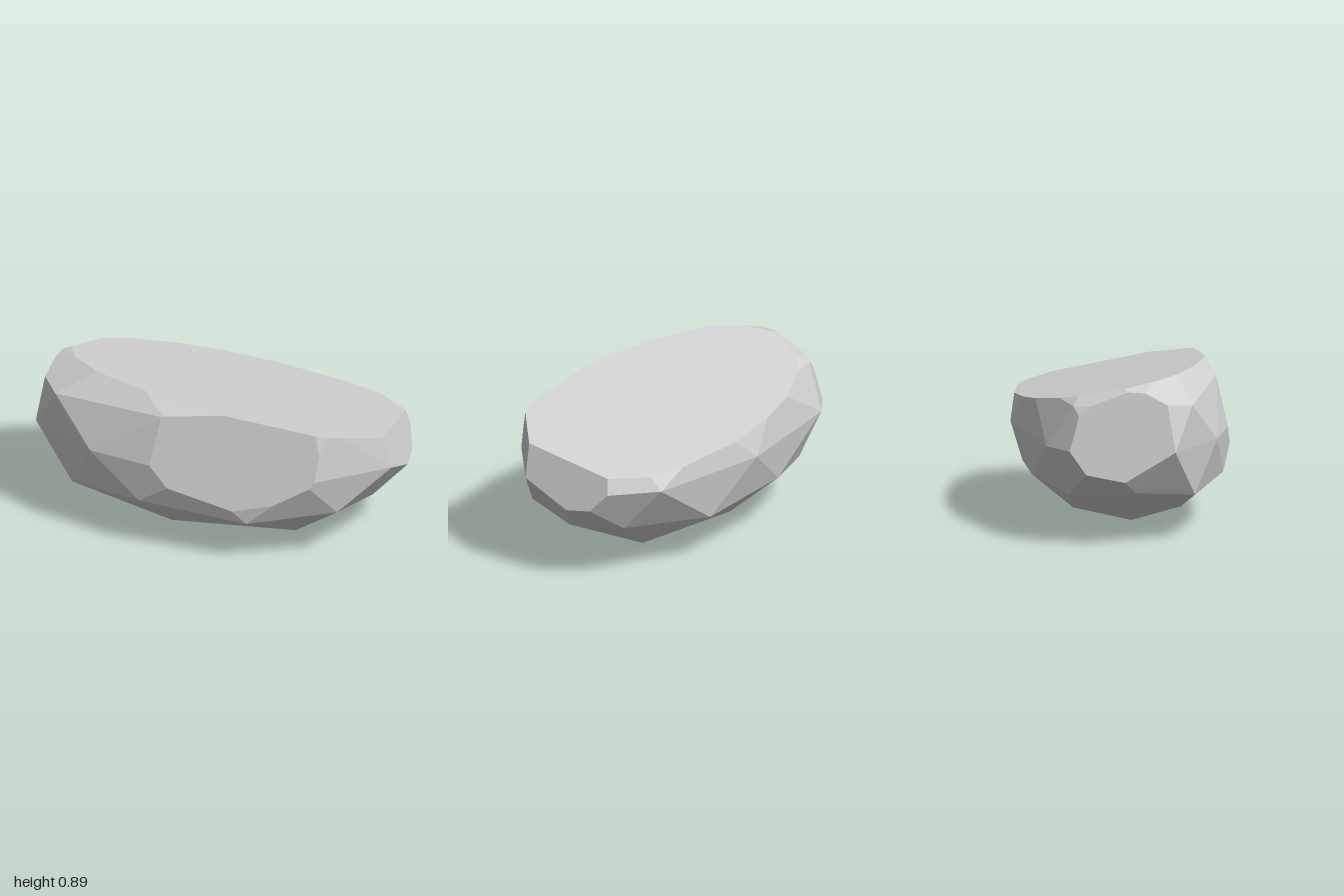
import * as THREE from 'three';
import { ConvexGeometry } from 'three/addons/geometries/ConvexGeometry.js';
import { mergeVertices } from 'three/addons/utils/BufferGeometryUtils.js';

// Rough boulder: horizontal rings of [x, z] corners, from the bottom up
const rings = [
  { y: 0, xz: [[-0.02, 0.03]] },
  { y: 0.08, xz: [[0.46, 0.24], [-0.21, 0.32], [-0.58, 0.03], [-0.2, -0.26], [0.46, -0.18]] },
  { y: 0.25, xz: [[0.83, 0.03], [0.28, 0.56], [-0.76, 0.36], [-0.73, -0.32], [0.28, -0.5]] },
  { y: 0.29, xz: [[0.73, 0.36], [-0.33, 0.54], [-0.92, 0.03], [-0.33, -0.49], [0.78, -0.3]] },
  { y: 0.525, xz: [[0.99, 0.205], [0.6, 0.54], [0, 0.63], [-0.62, 0.49], [-1, 0.24],
    [-1.15, -0.17], [-0.77, -0.44], [-0.02, -0.585], [0.71, -0.5], [1.12, -0.155]] },
  { y: 0.757, xz: [[1.13, 0.03], [0.28, 0.6], [-0.86, 0.34], [-0.85, -0.3], [0.25, -0.527]] },
  { y: 0.798, xz: [[0.72, 0.41], [-0.2, 0.512], [-1.075, 0.04], [-0.3, -0.49], [0.8, -0.32]] },
  { y: 0.968, xz: [[0.58, 0.03], [0.17, 0.3], [-0.51, 0.22], [-0.51, -0.16], [0.17, -0.28]] },
  { y: 1.046, xz: [[-0.02, 0.03]] },
];

// Chipped faces: keep a*x + b*y + c*z <= d
const cuts = [
  [0.108, 1, -0.186, 0.7655], // sloping flat top
  [0.075, 0.213, 1, 0.663],   // front
  [1, 0.28, -0.1, 1.115],     // left end
  [-1, 0.14, -0.123, 1.044],  // right end
];

// Cuts a convex solid with a plane and closes it again
function chip(points, [a, b, c, d]) {
  const hull = new ConvexGeometry(points).getAttribute('position');
  const height = (p) => a * p.x + b * p.y + c * p.z - d;
  const corners = [];
  for (let i = 0; i < hull.count; i++) {
    const next = i % 3 === 2 ? i - 2 : i + 1;
    let p = new THREE.Vector3().fromBufferAttribute(hull, i);
    let q = new THREE.Vector3().fromBufferAttribute(hull, next);
    if (height(p) <= 0) corners.push(p);
    if (height(p) * height(q) < 0) {
      if (height(p) > 0) [p, q] = [q, p];
      corners.push(p.clone().lerp(q, height(p) / (height(p) - height(q))));
    }
  }
  const merged = mergeVertices(new THREE.BufferGeometry().setFromPoints(corners), 1e-4);
  const pos = merged.getAttribute('position');
  return Array.from({ length: pos.count }, (_, i) => new THREE.Vector3().fromBufferAttribute(pos, i));
}

export function createModel() {
  const stone = new THREE.MeshStandardMaterial({ color: 0xd1d1d1 });
  stone.name = 'pale stone grey';

  let points = rings.flatMap(({ y, xz }) => xz.map(([x, z]) => new THREE.Vector3(x, y, z)));
  for (const cut of cuts) points = chip(points, cut);

  // The hull has one normal per face, so it is flat shaded already
  const rock = new THREE.Mesh(new ConvexGeometry(points), stone);
  rock.name = 'rock';

  const group = new THREE.Group();
  group.name = 'boulder';
  group.add(rock);
  return group;
}
